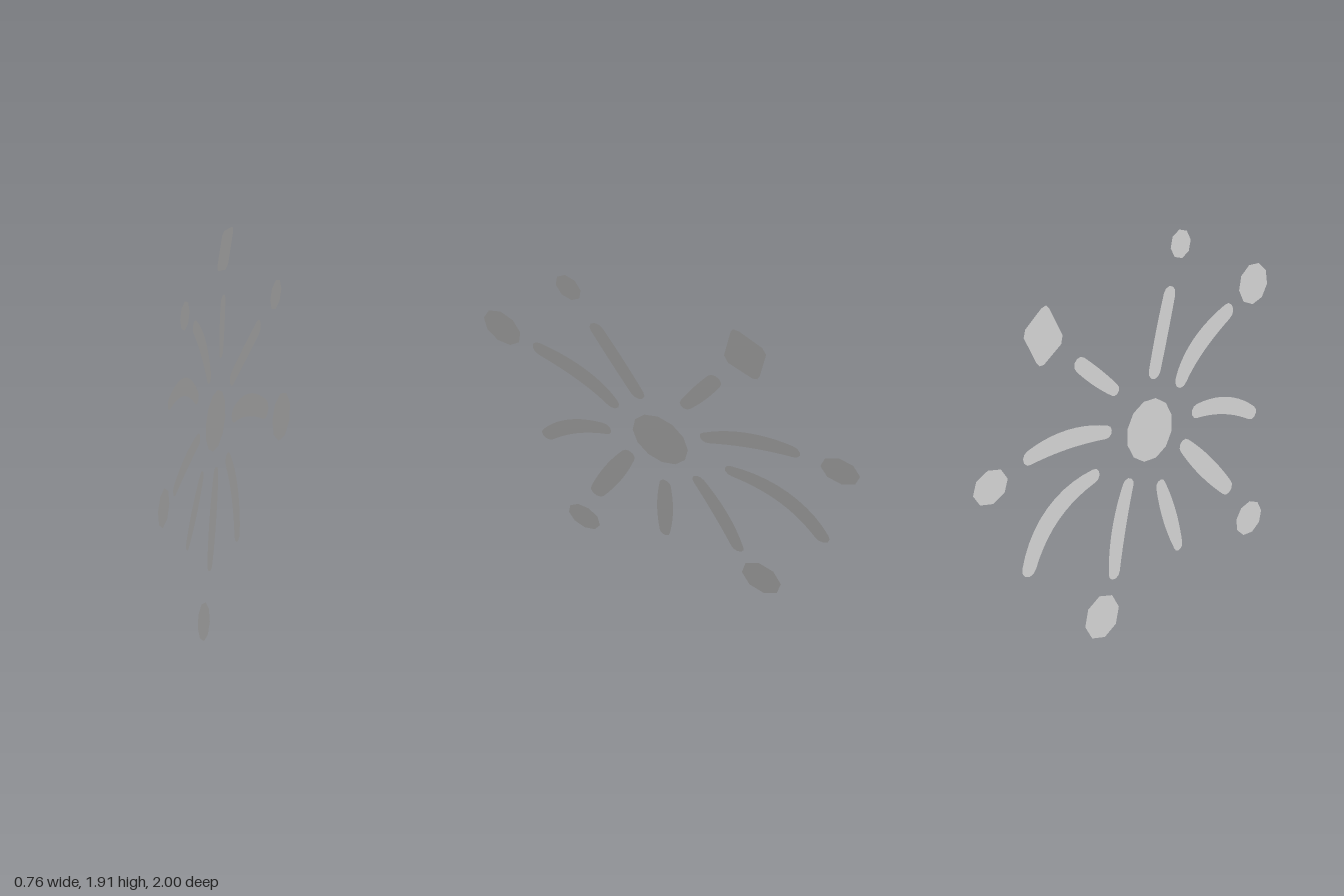
import * as THREE from 'three';

const grey = new THREE.MeshStandardMaterial({ color: 0xc4c4c4, side: THREE.DoubleSide });
grey.name = 'light grey';

// All plates lie in one tilted plane: x follows from z and y
const planeX = (z, y) => -0.269 + 0.2418 * y + 0.2809 * z;

// Flat plate from an outline of [z, y] points
function plate(name, outline) {
  const shape = new THREE.Shape(outline.map(([z, y]) => new THREE.Vector2(z, y)));
  const geometry = new THREE.ShapeGeometry(shape);
  const p = geometry.attributes.position;
  for (let i = 0; i < p.count; i++) {
    const z = p.getX(i), y = p.getY(i);
    p.setXYZ(i, planeX(z, y), y, z);
  }
  geometry.computeVertexNormals();
  const mesh = new THREE.Mesh(geometry, grey);
  mesh.name = name;
  return mesh;
}

// Faceted round spot
function spot(name, z, y, rz, ry, sides, startDegrees) {
  const outline = [];
  for (let i = 0; i < sides; i++) {
    const a = THREE.MathUtils.degToRad(startDegrees) + (i / sides) * Math.PI * 2;
    outline.push([z + rz * Math.cos(a), y + ry * Math.sin(a)]);
  }
  return plate(name, outline);
}

// Curved ray with rounded ends: three spine points and the half width at each
function ray(name, spine, widths) {
  const [a, m, b] = spine.map(([z, y]) => new THREE.Vector2(z, y));
  // control point that makes the curve pass through the middle point
  const control = m.clone().multiplyScalar(2).addScaledVector(a, -0.5).addScaledVector(b, -0.5);
  const curve = new THREE.QuadraticBezierCurve(a, control, b);
  const steps = 10, capSteps = 5;
  const left = [], right = [];
  const [w0, w1, w2] = widths;
  for (let i = 0; i <= steps; i++) {
    const t = i / steps;
    const c = curve.getPoint(t), d = curve.getTangent(t);
    const w = w0 * (1 - t) * (1 - 2 * t) + w1 * 4 * t * (1 - t) + w2 * t * (2 * t - 1);
    left.push([c.x - d.y * w, c.y + d.x * w]);
    right.unshift([c.x + d.y * w, c.y - d.x * w]);
  }
  const cap = (t, w, start) => {
    const c = curve.getPoint(t), heading = curve.getTangent(t).angle() + start;
    const points = [];
    for (let i = 1; i < capSteps; i++) {
      const angle = heading - (i / capSteps) * Math.PI;
      points.push([c.x + w * Math.cos(angle), c.y + w * Math.sin(angle)]);
    }
    return points;
  };
  return plate(name, [
    ...left, ...cap(1, w2, Math.PI / 2),
    ...right, ...cap(0, w0, -Math.PI / 2),
  ]);
}

export function createModel() {
  const group = new THREE.Group();
  group.name = 'burst';

  // Centre and outer spots
  group.add(
    spot('centreDisc', 0.082, 0.972, 0.156, 0.163, 12, 7),
    spot('topSpot', 0.412, 1.838, 0.069, 0.073, 8, 0),
    spot('upperFrontSpot', 0.895, 1.47, 0.108, 0.109, 9, 61),
    spot('backSpot', -0.903, 1.098, 0.1, 0.085, 8, 180),
    spot('lowerBackSpot', -0.37, 0.122, 0.114, 0.12, 8, -90),
    spot('lowerFrontSpot', 0.72, 0.172, 0.101, 0.096, 9, 0),
  );

  // Square spot with clipped corners
  group.add(plate('squareSpot', [
    [-0.45, 1.82], [-0.48, 1.815], [-0.585, 1.75], [-0.6, 1.715], [-0.55, 1.575],
    [-0.535, 1.553], [-0.51, 1.55], [-0.395, 1.61], [-0.38, 1.65], [-0.435, 1.8],
  ]));

  // Rays around the centre: spine as [z, y], then half widths
  const rays = [
    ['upperRay', [[0.306, 1.615], [0.23, 1.44], [0.155, 1.262]], [0.04, 0.043, 0.04]],
    ['upperBackRay', [[-0.3, 1.471], [-0.204, 1.364], [-0.113, 1.267]], [0.038, 0.04, 0.03]],
    ['upperFrontRay', [[0.69, 1.387], [0.467, 1.284], [0.325, 1.15]], [0.044, 0.055, 0.042]],
    ['frontRay', [[0.805, 0.77], [0.62, 0.888], [0.413, 0.941]], [0.037, 0.046, 0.038]],
    ['lowerFrontRay', [[0.305, 0.788], [0.434, 0.615], [0.574, 0.428]], [0.038, 0.055, 0.042]],
    ['lowerRay', [[0.113, 0.647], [0.15, 0.455], [0.188, 0.262]], [0.032, 0.047, 0.03]],
    ['lowerBackRay', [[-0.1, 0.745], [-0.193, 0.54], [-0.257, 0.322]], [0.037, 0.047, 0.037]],
    ['longBackRay', [[-0.305, 0.888], [-0.58, 0.807], [-0.762, 0.6]], [0.036, 0.053, 0.043]],
    ['backRay', [[-0.193, 1.075], [-0.434, 1.139], [-0.667, 1.144]], [0.033, 0.048, 0.037]],
  ];
  for (const [name, spine, widths] of rays) group.add(ray(name, spine, widths));

  return group;
}
